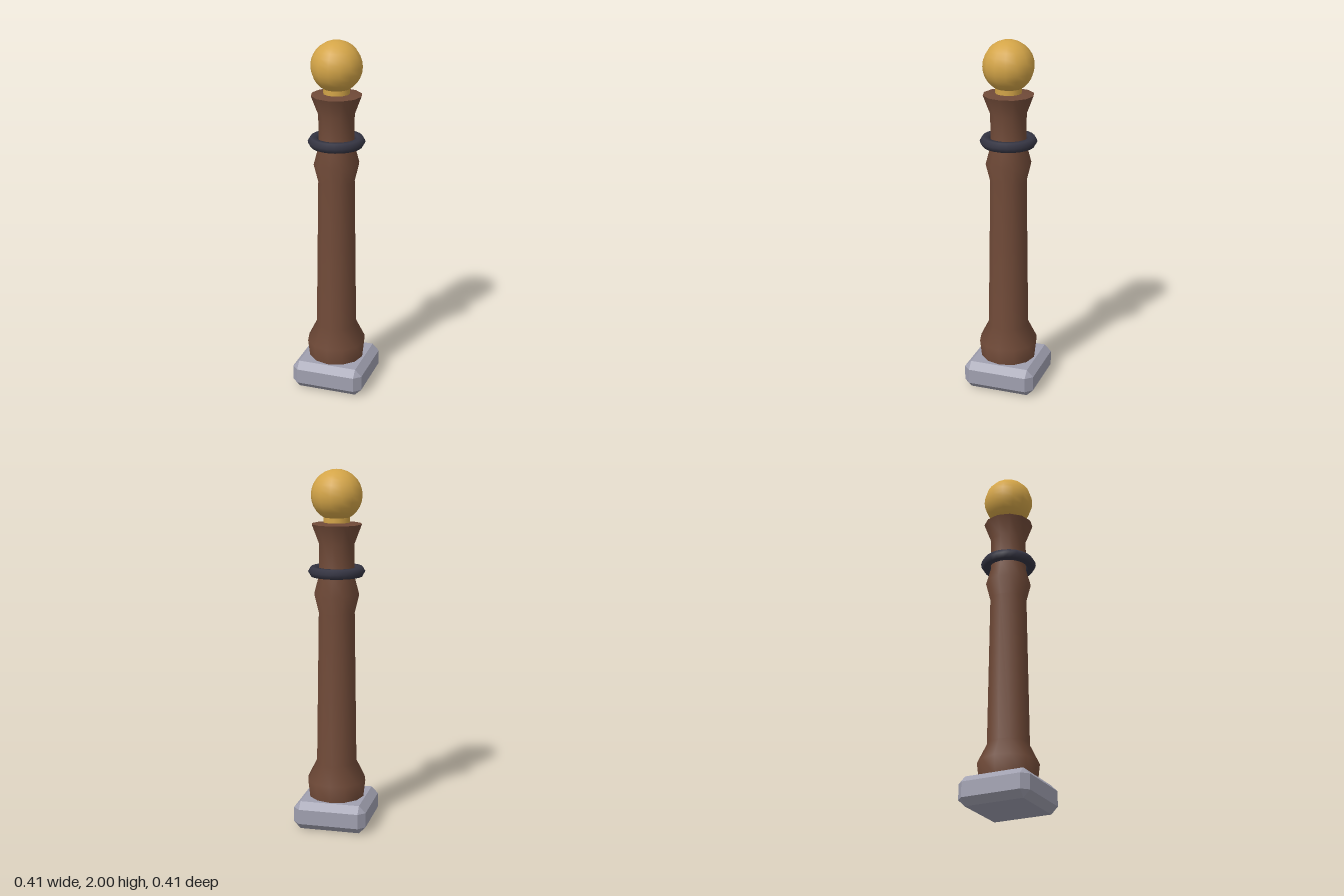
import * as THREE from 'three';
import { ConvexGeometry } from 'three/addons/geometries/ConvexGeometry.js';

const material = (name, color) => {
  const m = new THREE.MeshStandardMaterial({ color });
  m.name = name;
  return m;
};

export function createModel() {
  const group = new THREE.Group();
  group.name = 'bollard';

  const stone = material('grey stone', 0xa0a0b0);
  const wood = material('brown wood', 0x704a38);
  const iron = material('dark iron', 0x353543);
  const gold = material('gold', 0xd4a548);

  const add = (name, geometry, mat, y = 0) => {
    const mesh = new THREE.Mesh(geometry, mat);
    mesh.name = name;
    mesh.position.y = y;
    group.add(mesh);
    return mesh;
  };
  const lathe = (profile, sides) =>
    new THREE.LatheGeometry(profile.map(([r, y]) => new THREE.Vector2(r, y)), sides);

  // Plinth: a box with every edge bevelled
  const w = 0.206, h = 0.08, b = 0.038;
  const corners = [];
  for (const x of [-1, 1]) for (const y of [-1, 1]) for (const z of [-1, 1]) {
    corners.push(
      new THREE.Vector3(x * w, y * (h - b), z * (w - b)),
      new THREE.Vector3(x * (w - b), y * h, z * (w - b)),
      new THREE.Vector3(x * (w - b), y * (h - b), z * w)
    );
  }
  add('plinth', new ConvexGeometry(corners), stone, h);

  // Turned twelve-sided post
  add('post', lathe([
    [0.155, 0.15], [0.167, 0.255], [0.115, 0.36], [0.102, 1.22],
    [0.127, 1.32], [0.1, 1.42], [0.1, 1.6], [0.14, 1.705]
  ], 12), wood);
  add('postTop', lathe([[0.14, 1.705], [0, 1.722]], 12), wood);

  // Ring around the neck of the post
  const ring = add('ring', new THREE.TorusGeometry(0.127, 0.03, 6, 24), iron, 1.446);
  ring.rotation.x = Math.PI / 2;

  // Finial: short stem and ball
  add('finialStem', lathe([[0.072, 1.7], [0.072, 1.76]], 14), gold);
  const ball = add('finialBall', new THREE.SphereGeometry(0.14, 14, 14), gold, 1.86);
  ball.rotation.y = Math.PI / 2;

  return group;
}
